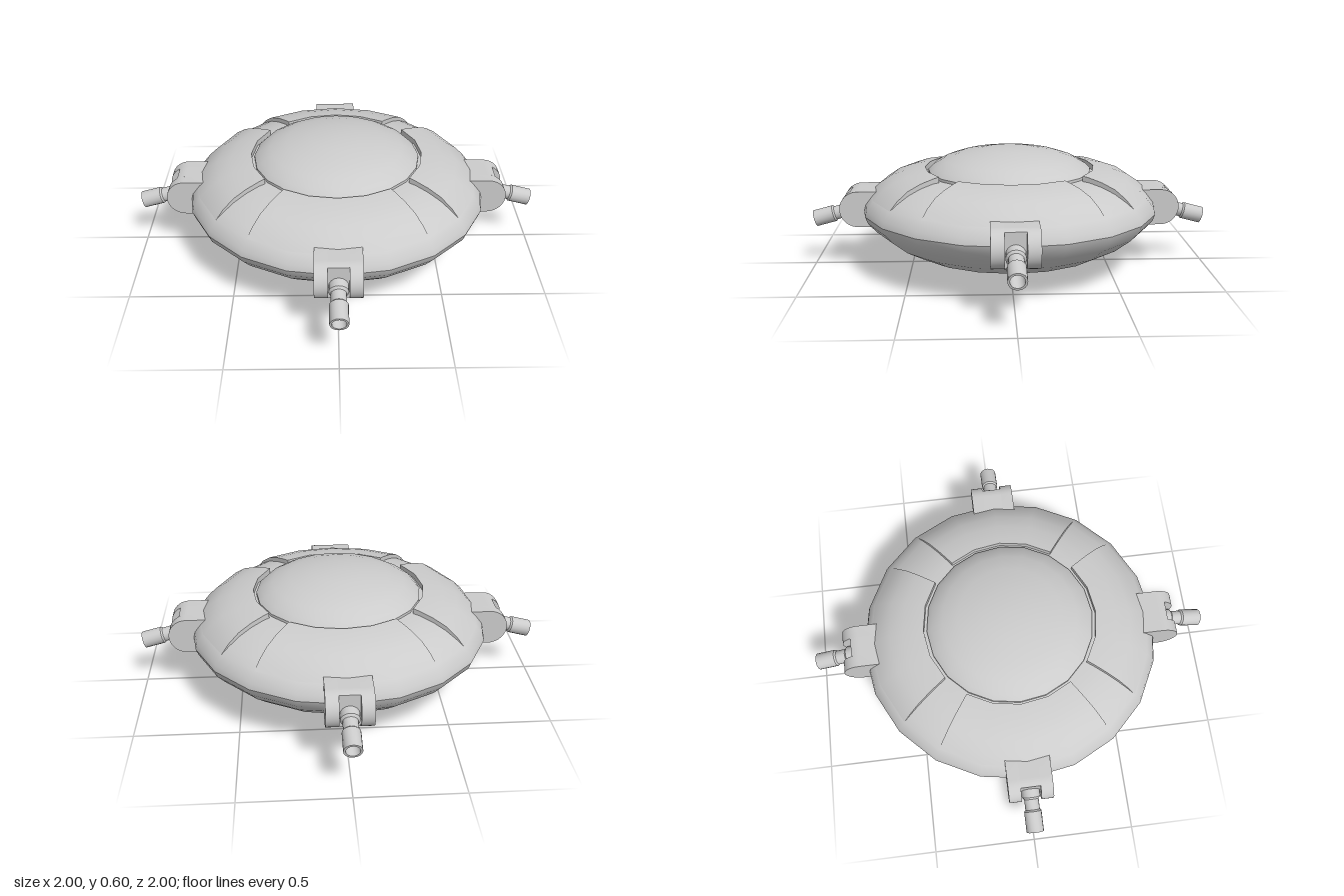
import * as THREE from 'three';
import { toCreasedNormals } from 'three/addons/utils/BufferGeometryUtils.js';

const SIDES = 20;
const material = new THREE.MeshStandardMaterial({ color: 0xcccccc, side: THREE.DoubleSide });
const points = (list) => list.map(([r, y]) => new THREE.Vector2(r, y));

function mesh(name, geometry) {
  const m = new THREE.Mesh(geometry, material);
  m.name = name;
  return m;
}

function lathe(name, profile, sides = SIDES, start = 0, length = Math.PI * 2, crease = 0.6) {
  const geometry = new THREE.LatheGeometry(points(profile), sides, start, length);
  return mesh(name, toCreasedNormals(geometry, crease));
}

// Raised quarter panel on the upper hull, with walls along its two radial edges
function createPanel() {
  const panel = new THREE.Group();
  panel.name = 'hullPanel';
  const half = Math.PI / 5;
  const top = [[0.7, 0.38], [0.66, 0.42], [0.6, 0.46], [0.53, 0.485], [0.46, 0.5], [0.425, 0.505], [0.425, 0.46]];
  panel.add(lathe('panelSkin', top, 4, -half, half * 2));
  for (const side of [-1, 1]) {
    const wall = mesh('panelEdge', new THREE.ShapeGeometry(new THREE.Shape(points(top))));
    wall.rotation.y = side * half - Math.PI / 2;
    panel.add(wall);
  }
  return panel;
}

// Side profile of the mount: square at the hull, rounded outside, optionally cut flat
function mountSlice(name, x, width, cutAngle) {
  const shape = new THREE.Shape();
  shape.moveTo(0.62, 0.22);
  shape.lineTo(0.76, 0.22);
  if (cutAngle) {
    shape.absarc(0.76, 0.31, 0.09, -Math.PI / 2, -cutAngle, false);
    shape.absarc(0.76, 0.31, 0.09, cutAngle, Math.PI / 2, false);
  } else {
    shape.absarc(0.76, 0.31, 0.09, -Math.PI / 2, Math.PI / 2, false);
  }
  shape.lineTo(0.62, 0.4);
  shape.closePath();
  const geometry = new THREE.ExtrudeGeometry(shape, { depth: width, bevelEnabled: false, curveSegments: 10 });
  geometry.rotateY(-Math.PI / 2).translate(x + width / 2, 0, 0);
  return mesh(name, toCreasedNormals(geometry, 0.6));
}

// Gun mount with a slotted housing and a hollow barrel tilted downwards
function createGun() {
  const gun = new THREE.Group();
  gun.name = 'gunMount';
  for (const side of [-1, 1]) gun.add(mountSlice('mountCheek', side * 0.0775, 0.06));
  gun.add(mountSlice('mountCore', 0, 0.095, Math.acos(0.04 / 0.09)));
  const barrel = lathe('gunBarrel', [
    [0, -0.03], [0.045, -0.03], [0.045, 0.05], [0.035, 0.06], [0.035, 0.11], [0.042, 0.118],
    [0.042, 0.217], [0.032, 0.217], [0.032, 0.12], [0, 0.12],
  ], 16, 0, Math.PI * 2, 0.5);
  barrel.position.set(0, 0.295, 0.78);
  barrel.rotation.x = Math.PI / 2 + 0.26;
  gun.add(barrel);
  return gun;
}

export function createModel() {
  const model = new THREE.Group();
  model.name = 'saucer';

  // Hull, with the recessed level of the upper deck
  model.add(lathe('hull', [
    [0.19, 0.06], [0.32, 0.06], [0.41, 0.073], [0.51, 0.105], [0.61, 0.16], [0.69, 0.225], [0.73, 0.27],
    [0.743, 0.305], [0.735, 0.335], [0.7, 0.38], [0.66, 0.406], [0.6, 0.438], [0.53, 0.462], [0.46, 0.476], [0.38, 0.48],
  ]));

  // Domed hatch on top
  model.add(lathe('dome', [
    [0.41, 0.46], [0.41, 0.492], [0.385, 0.517], [0.33, 0.548], [0.25, 0.574], [0.13, 0.595], [0, 0.602],
  ]));

  // Hollow nozzle underneath
  model.add(lathe('bottomNozzle', [
    [0, 0.1], [0.18, 0.1], [0.178, 0], [0.188, 0], [0.222, 0.062],
  ]));

  // Four panels and four guns, one on each side
  for (let i = 0; i < 4; i++) {
    for (const part of [createPanel(), createGun()]) {
      part.rotation.y = i * Math.PI / 2;
      model.add(part);
    }
  }
  return model;
}
